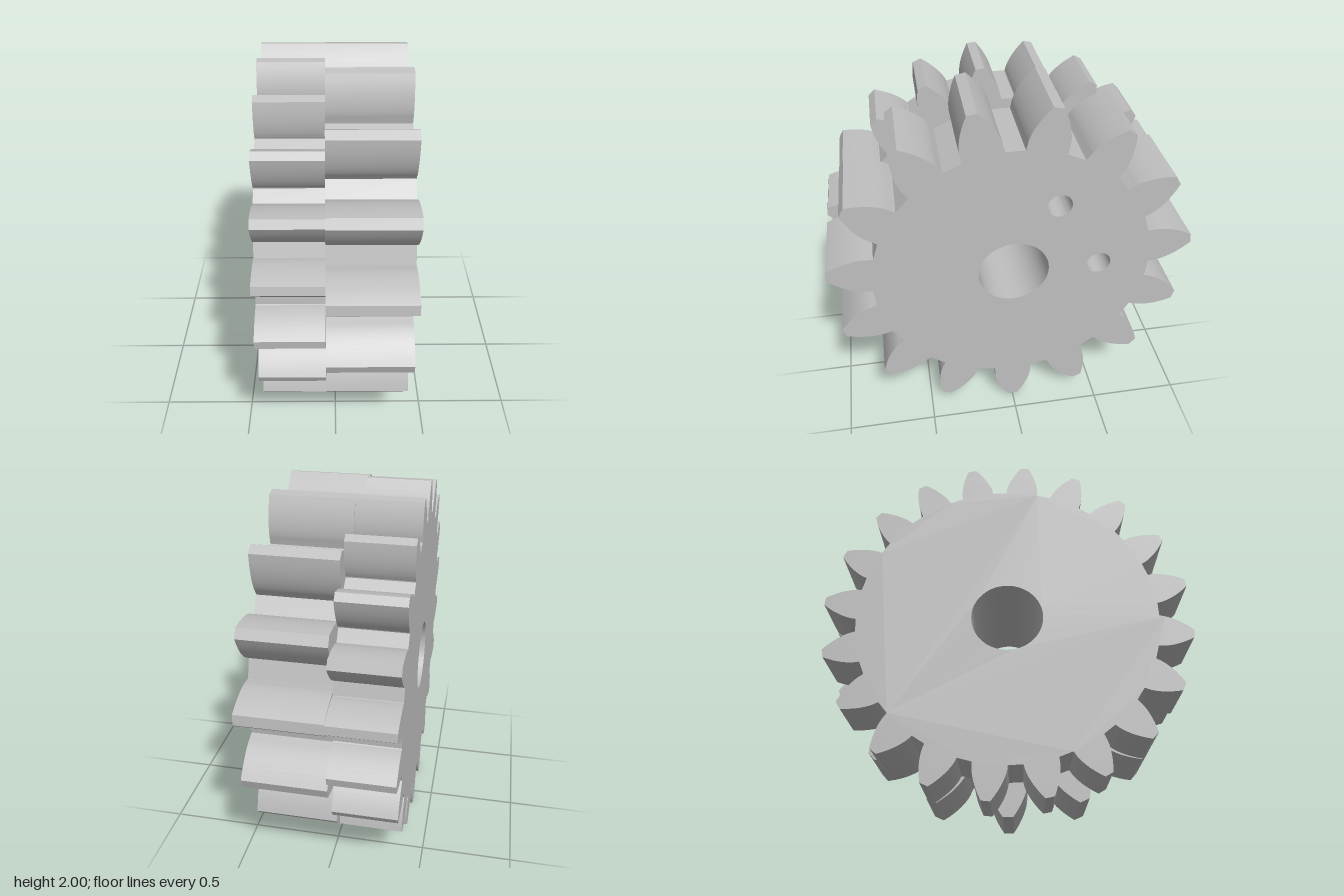
import * as THREE from 'three';
import { toCreasedNormals } from 'three/addons/utils/BufferGeometryUtils.js';

const rad = THREE.MathUtils.degToRad;
const PRESSURE = rad(25);
const involute = (a) => Math.tan(a) - a;

// Spur gear outline with outer radius 1: straight root, then involute flanks
function gearShape(teeth, phase, rootHalf, holes) {
  const module = 2 / (teeth + 2);
  const pitch = 1 - module;
  const root = 1 - 2 * module;
  const base = pitch * Math.cos(PRESSURE);

  // Half a tooth as [radius, half angle], from root to tip
  const flank = [[root, rootHalf]];
  const steps = 10;
  for (let i = 0; i <= steps; i++) {
    const r = base + (1 - base) * (i / steps) ** 1.5;
    const a = Math.acos(Math.min(1, base / r));
    flank.push([r, Math.PI / (2 * teeth) + involute(PRESSURE) - involute(a)]);
  }

  const points = [];
  for (let t = 0; t < teeth; t++) {
    const mid = phase + (t / teeth) * Math.PI * 2;
    const add = ([r, h], side) =>
      points.push(new THREE.Vector2(r * Math.cos(mid + side * h), r * Math.sin(mid + side * h)));
    flank.forEach((p) => add(p, -1));
    [...flank].reverse().forEach((p) => add(p, 1));
  }

  const shape = new THREE.Shape(points);
  for (const [x, y, r] of holes) {
    shape.holes.push(new THREE.Path().absarc(x, y, r, 0, Math.PI * 2, true));
  }
  return shape;
}

// Extrude a gear along the x axis between two positions
function makeGear(name, shape, x0, x1, material) {
  let geometry = new THREE.ExtrudeGeometry(shape, {
    depth: x1 - x0, bevelEnabled: false, curveSegments: 32,
  });
  geometry.rotateY(Math.PI / 2);
  geometry = toCreasedNormals(geometry, rad(25));
  const mesh = new THREE.Mesh(geometry, material);
  mesh.name = name;
  mesh.position.set(x0, 1, 0);
  return mesh;
}

export function createModel() {
  const group = new THREE.Group();
  group.name = 'doubleGear';
  const steel = new THREE.MeshStandardMaterial({ color: 0xbfbfbf });
  steel.name = 'steel grey';

  const bore = [0, 0, 0.194];
  const pinHoles = [[0.238, 0.412, 0.067], [0.476, 0, 0.067]];

  // Narrow gear with twenty fine teeth closes off the pin holes
  group.add(makeGear('fineGear', gearShape(20, rad(6), rad(6.45), [bore]), -0.394, -0.05, steel));
  // Wide gear with fifteen coarse teeth and two pin holes
  group.add(makeGear('coarseGear', gearShape(15, rad(6), rad(8.15), [bore, ...pinHoles]), -0.05, 0.394, steel));
  return group;
}
